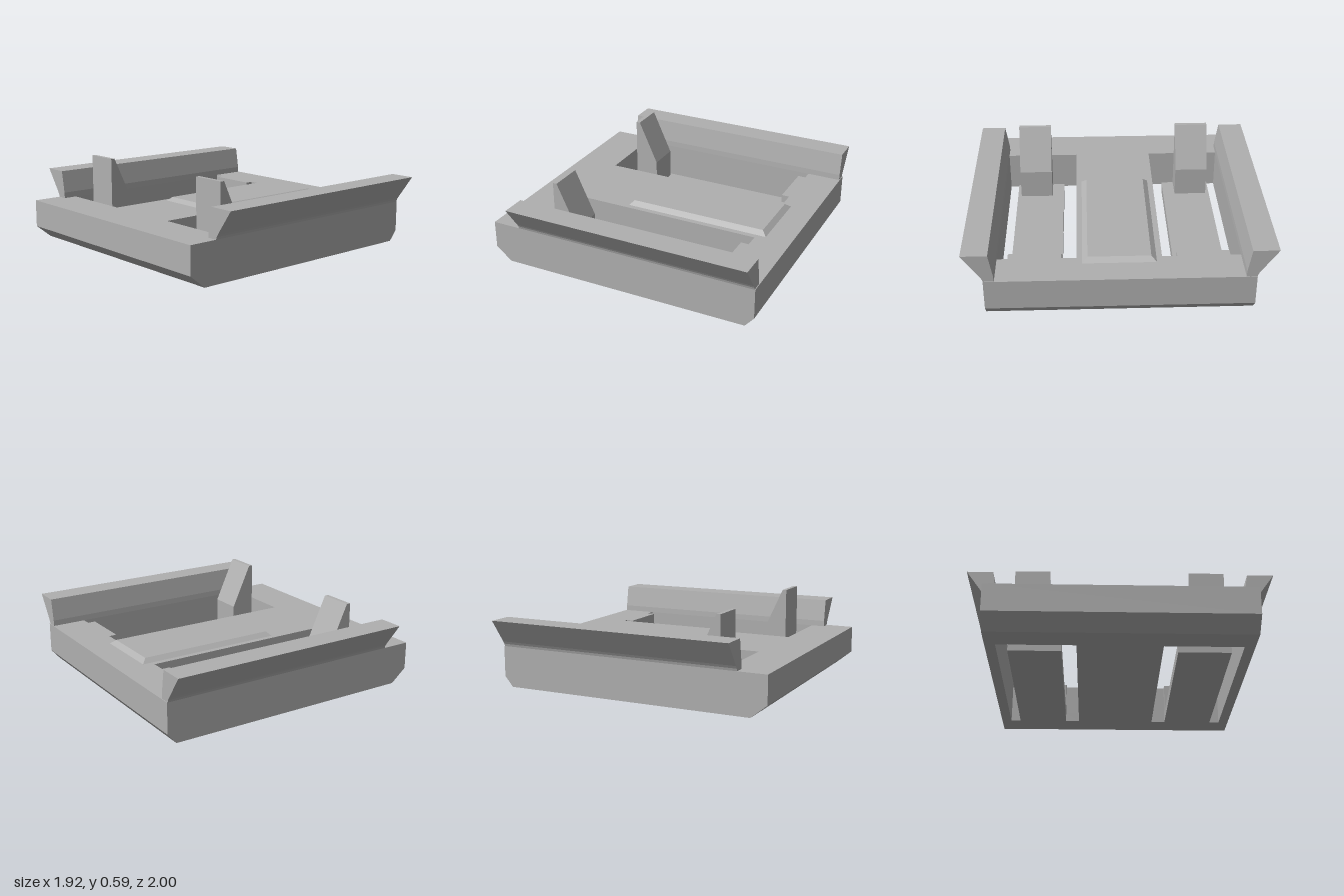
import * as THREE from 'three';

const grey = new THREE.MeshStandardMaterial({ color: 0xb0b0b0 });
grey.name = 'plain grey';

const TOP = 0.28;
const toShape = (pts) => new THREE.Shape(pts.map(([a, b]) => new THREE.Vector2(a, b)));

function add(parent, name, geometry) {
  const mesh = new THREE.Mesh(geometry, grey);
  mesh.name = name;
  parent.add(mesh);
  return mesh;
}

// Slab with two openings; each end is chamfered along its lower edge
function basePlate() {
  const plan = toShape([[-0.96, -0.87], [0.96, -0.87], [0.96, 0.87], [-0.96, 0.87]]);
  for (const s of [1, -1]) {
    // opening, with a short stub at the root of the spring arm
    plan.holes.push(toShape([
      [-0.665, 0.28 * s], [0.715, 0.28 * s], [0.715, 0.38 * s], [0.66, 0.38 * s],
      [0.66, 0.73 * s], [0.715, 0.73 * s], [0.715, 0.8 * s], [-0.665, 0.8 * s],
    ]));
  }
  const g = new THREE.ExtrudeGeometry(plan, { depth: TOP, steps: 2, bevelEnabled: false });
  g.rotateX(Math.PI / 2).translate(0, TOP, 0);
  const p = g.attributes.position;
  for (let i = 0; i < p.count; i++) {
    const x = p.getX(i), y = p.getY(i);
    if (y < 0.01) p.setX(i, THREE.MathUtils.clamp(x, -0.85, 0.9));
    else if (y < 0.2) p.setY(i, x < 0 ? 0.09 : 0.07);
  }
  g.computeVertexNormals();
  return g;
}

// Outward-flaring rail, drawn as a z-y section and run along x
function rail(s) {
  const section = [
    [0.8, TOP], [0.802, 0.32], [0.828, 0.475], [1, 0.475],
    [0.886, 0.315], [0.875, 0.297], [0.87, TOP],
  ].map(([z, y]) => [z * s, y]);
  const g = new THREE.ExtrudeGeometry(toShape(section), { depth: 1.715, bevelEnabled: false });
  return g.rotateY(-Math.PI / 2).translate(0.955, 0, 0);
}

// Raised pad whose top is inset on all sides
function pad() {
  const g = new THREE.BoxGeometry(1.035, 0.028, 0.485).toNonIndexed();
  const p = g.attributes.position;
  for (let i = 0; i < p.count; i++) {
    if (p.getY(i) < 0) continue;
    p.setX(i, p.getX(i) < 0 ? -0.4925 : 0.4825);
    p.setZ(i, Math.sign(p.getZ(i)) * 0.208);
  }
  g.computeVertexNormals();
  return g.translate(0.2625, TOP + 0.014, 0);
}

export function createModel() {
  const model = new THREE.Group();
  model.name = 'latchPlate';
  add(model, 'basePlate', basePlate());
  add(model, 'pad', pad());

  const armThickness = 0.07;
  const hookProfile = toShape([
    [-0.575, armThickness], [-0.405, armThickness], [-0.405, TOP], [-0.547, 0.588], [-0.575, 0.588],
  ]);

  for (const s of [1, -1]) {
    const side = s > 0 ? 'front' : 'back';
    add(model, side + 'Rail', rail(s));

    // spring arm with an upright hook at its free end
    const latch = new THREE.Group();
    latch.name = side + 'Latch';
    const arm = new THREE.BoxGeometry(1.235, armThickness, 0.35);
    add(latch, side + 'SpringArm', arm.translate(0.0425, armThickness / 2, 0.555 * s));
    const hook = new THREE.ExtrudeGeometry(hookProfile, { depth: 0.236, bevelEnabled: false });
    add(latch, side + 'Hook', hook.translate(0, 0, 0.585 * s - 0.118));
    model.add(latch);
  }
  return model;
}
